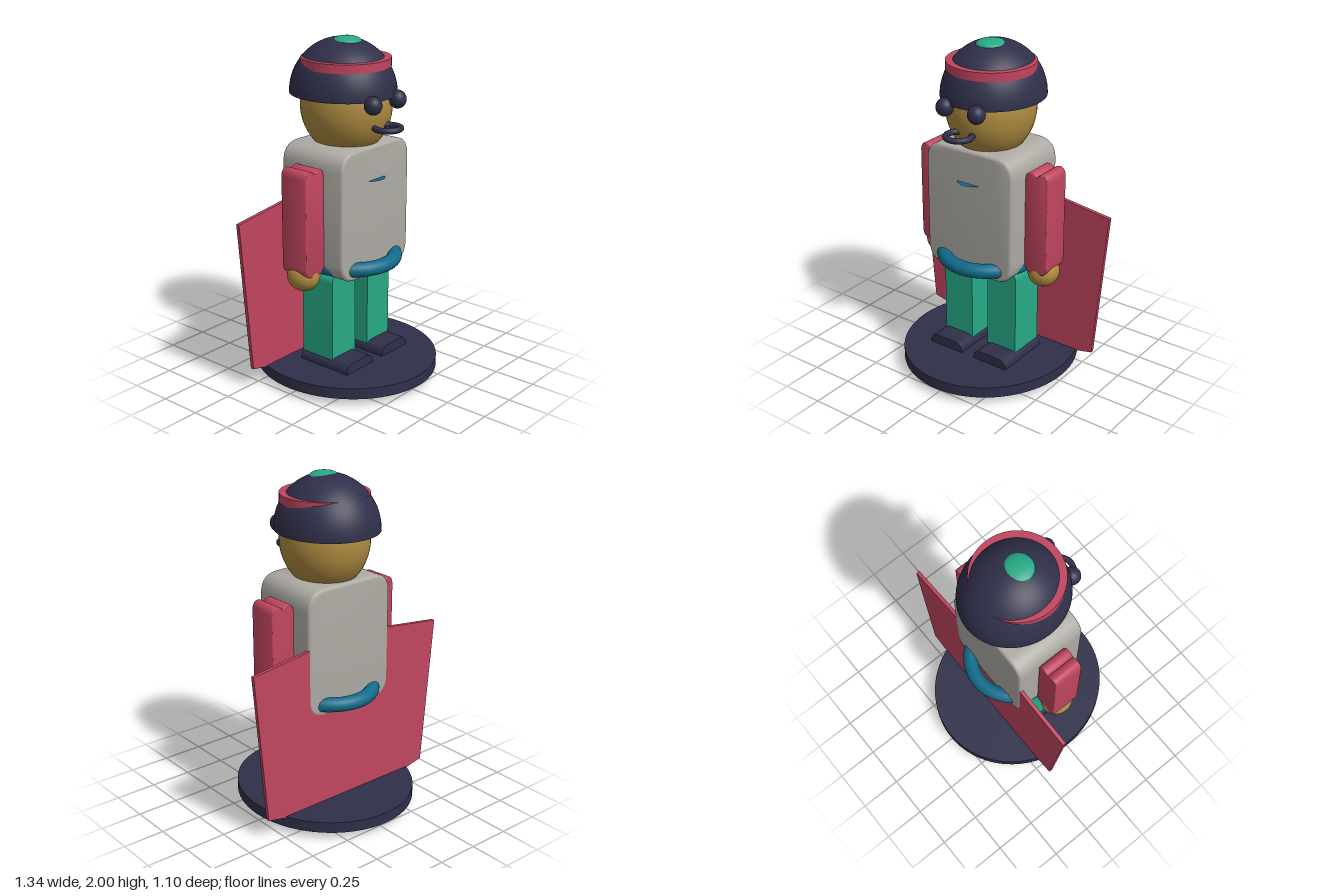
import * as THREE from 'three';
import { toCreasedNormals } from 'three/addons/utils/BufferGeometryUtils.js';

const material = (name, color, side = THREE.FrontSide) => {
  const m = new THREE.MeshStandardMaterial({ color, side });
  m.name = name;
  return m;
};

// Rounded rectangle with separate top and bottom corner radii
function roundedRect(x0, x1, y0, y1, rTop, rBottom) {
  const s = new THREE.Shape();
  s.moveTo(x0 + rBottom, y0);
  s.lineTo(x1 - rBottom, y0);
  if (rBottom) s.quadraticCurveTo(x1, y0, x1, y0 + rBottom);
  s.lineTo(x1, y1 - rTop);
  s.quadraticCurveTo(x1, y1, x1 - rTop, y1);
  s.lineTo(x0 + rTop, y1);
  s.quadraticCurveTo(x0, y1, x0, y1 - rTop);
  s.lineTo(x0, y0 + rBottom);
  if (rBottom) s.quadraticCurveTo(x0, y0, x0 + rBottom, y0);
  return s;
}

// Extrude a front outline between two z values, bevel kept inside the outline
function slab(shape, z0, z1, bevel = 0) {
  const geo = new THREE.ExtrudeGeometry(shape, {
    depth: z1 - z0 - 2 * bevel, curveSegments: 10,
    bevelEnabled: bevel > 0, bevelSize: bevel, bevelThickness: bevel,
    bevelOffset: -bevel, bevelSegments: 4,
  });
  geo.translate(0, 0, z0 + bevel);
  return toCreasedNormals(geo, 0.6);
}

export function createModel() {
  const group = new THREE.Group();
  const navy = material('navy', 0x2f2f4a, THREE.DoubleSide);
  const crimson = material('crimson', 0xc0455f);
  const green = material('green', 0x26aa86);
  const grey = material('warm grey', 0xaeaba4);
  const gold = material('gold', 0xad8a40);
  const teal = material('teal', 0x0f6c8b, THREE.DoubleSide);

  const add = (name, geo, mat, x = 0, y = 0, z = 0) => {
    const mesh = new THREE.Mesh(geo, mat);
    mesh.name = name;
    mesh.position.set(x, y, z);
    group.add(mesh);
    return mesh;
  };
  const ellipsoid = (rx, ry, rz) => new THREE.SphereGeometry(1, 40, 28).scale(rx, ry, rz);

  // Stand
  add('base', new THREE.CylinderGeometry(1, 1, 0.065, 72).scale(0.512, 1, 0.552), navy, 0, 0.08, 0);

  // Cape behind the body, pointed at the bottom
  const cape = new THREE.Shape([
    [-0.67, 1.03], [-0.59, 0.13], [0, 0.003], [0.59, 0.13], [0.67, 1.03], [0.2, 1.09], [-0.2, 1.09],
  ].map(([x, y]) => new THREE.Vector2(x, y)));
  add('cape', slab(cape, -0.219, -0.197), crimson);

  // Torso, belt and the small chest disc
  add('torso', slab(roundedRect(-0.295, 0.295, 0.66, 1.415, 0.12, 0.12), -0.222, 0.22, 0.018), grey);
  add('belt', new THREE.TorusGeometry(0.28, 0.042, 20, 64).rotateX(Math.PI / 2).scale(0.952, 1, 1.045),
    teal, 0, 0.725, 0);
  add('chestDisc', new THREE.CircleGeometry(0.09, 32).rotateX(-Math.PI / 2), teal, 0, 1.22, 0.17);

  // Sleeve outline with a double-bumped shoulder
  const sleeve = new THREE.Shape();
  sleeve.moveTo(-0.02, 0.71);
  sleeve.lineTo(0.02, 0.71);
  sleeve.quadraticCurveTo(0.075, 0.71, 0.075, 0.765);
  sleeve.lineTo(0.075, 1.28);
  sleeve.bezierCurveTo(0.07, 1.335, 0.025, 1.335, 0, 1.305);
  sleeve.bezierCurveTo(-0.025, 1.335, -0.07, 1.335, -0.075, 1.28);
  sleeve.lineTo(-0.075, 0.765);
  sleeve.quadraticCurveTo(-0.075, 0.71, -0.02, 0.71);

  // Limbs and eyes, one of each per side
  for (const [side, s] of [['left', 1], ['right', -1]]) {
    add(side + 'Arm', slab(sleeve, -0.09, 0.09, 0.006), crimson, s * 0.37);
    add(side + 'Hand', ellipsoid(0.089, 0.089, 0.097), gold, s * 0.37, 0.697, 0);
    add(side + 'Leg', slab(roundedRect(-0.1, 0.1, 0.11, 0.68, 0.05, 0), -0.112, 0.115), green, s * 0.157);
    add(side + 'Foot', slab(roundedRect(-0.115, 0.115, 0.108, 0.17, 0.055, 0), -0.112, 0.24), navy, s * 0.16);
    add(side + 'Eye', ellipsoid(0.05, 0.052, 0.05), navy, s * 0.107, 1.665, 0.28);
  }

  // Head with a ring-shaped mouth
  add('head', ellipsoid(0.25, 0.295, 0.268), gold, 0, 1.62, 0);
  add('mouth', new THREE.TorusGeometry(0.073, 0.017, 14, 40).rotateX(Math.PI / 2), navy, 0, 1.525, 0.297);

  // Open domed hat with a band and a top button
  add('hat', new THREE.SphereGeometry(1, 48, 20, 0, Math.PI * 2, 0, Math.PI / 2).scale(0.292, 0.312, 0.312),
    navy, 0, 1.68, -0.022);
  add('hatBand', new THREE.CylinderGeometry(0.253, 0.253, 0.05, 64), crimson, 0, 1.86, 0);
  add('hatButton', ellipsoid(0.085, 0.032, 0.085), green, 0, 1.968, 0.005);

  return group;
}
